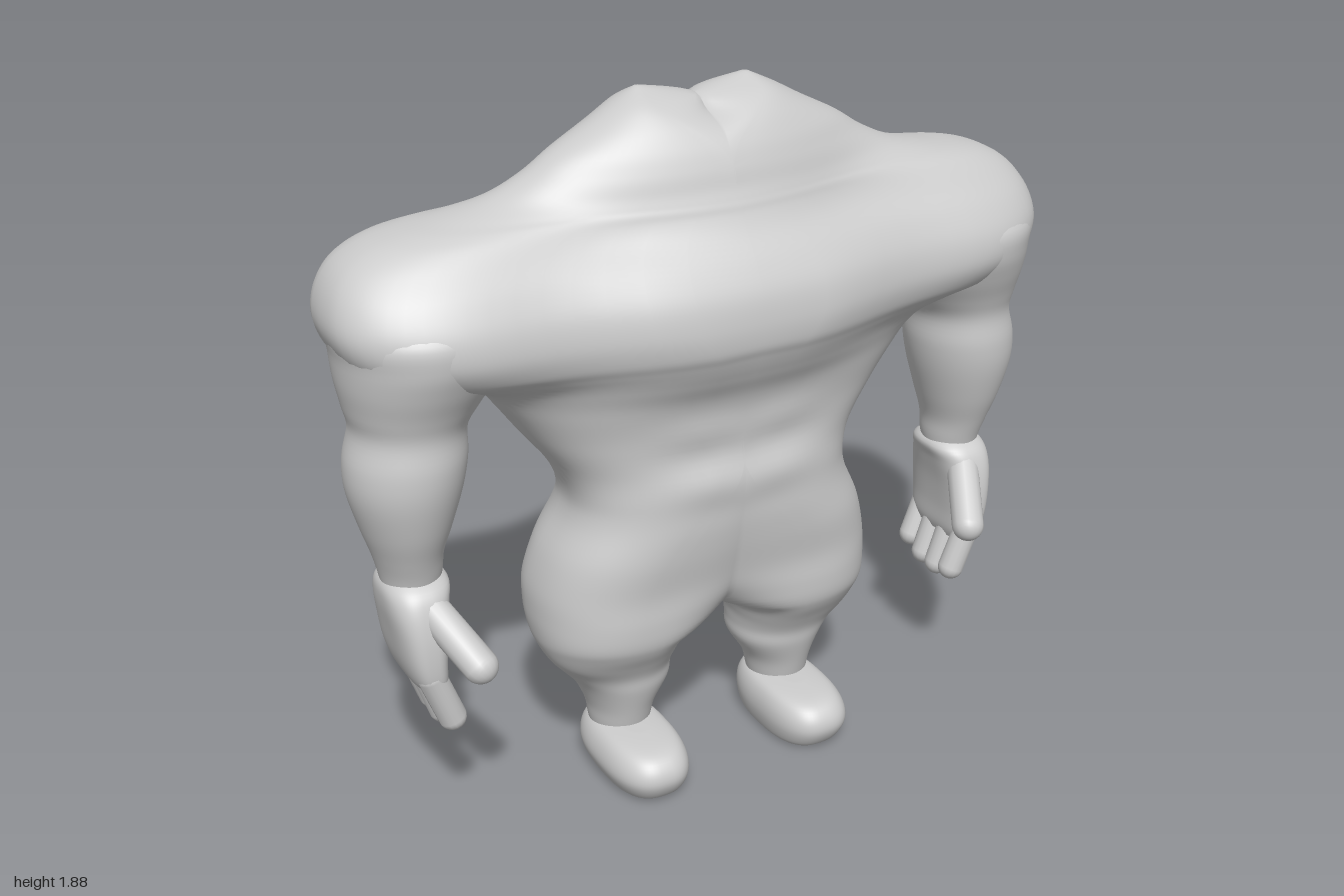
import * as THREE from 'three';
import { mergeGeometries, mergeVertices } from 'three/addons/utils/BufferGeometryUtils.js';

const SIDES = 72;   // points round each cross-section
const STEPS = 5;    // rings between two given sections

const catmull = (a, b, c, d, t) =>
  0.5 * (2 * b + (c - a) * t + (2 * a - 5 * b + 4 * c - d) * t * t + (3 * b - a - 3 * c + d) * t * t * t);
const bell = (v, mid, width) => Math.exp(-(((v - mid) / width) ** 2));

// Smooth loft through horizontal sections, lowest first:
// [y, centre x, outer radius, inner radius, front z, back z, squareness]
// A section never crosses the middle of the body: its inner arc stops at x = 0.
function loft(sections, shape = () => {}) {
  const pos = [], index = [];
  const last = sections.length - 1;
  const at = (i) => sections[Math.min(last, Math.max(0, i))];
  const rings = last * STEPS, quarter = SIDES / 4;
  const p = new THREE.Vector3();
  for (let r = 0; r <= rings; r++) {
    const k = Math.min(last - 1, Math.floor(r / STEPS)), t = r / STEPS - k;
    const [y, cx, ro, ri, zf, zb, n] = at(k).map((v, c) => catmull(at(k - 1)[c], v, at(k + 1)[c], at(k + 2)[c], t));
    const reach = Math.asin(Math.min(1, Math.max(0, cx / ri)) ** (n / 2));
    for (let i = 0; i < SIDES; i++) {
      const front = i <= SIDES / 2;
      const q = (front ? i : SIDES - i) - quarter;   // steps inwards from the foremost or rearmost point
      const a = q <= 0 ? (q / quarter) * Math.PI / 2 : Math.min(1, q / (quarter - 1)) * reach;
      const ex = Math.abs(Math.sin(a)) ** (2 / n), ez = Math.abs(Math.cos(a)) ** (2 / n);
      p.set(q <= 0 ? cx + ro * ex : cx - ri * ex, y, (zf + zb) / 2 + ((zf - zb) / 2) * (front ? ez : -ez));
      shape(p);
      pos.push(p.x, p.y, p.z);
    }
  }
  for (let r = 0; r < rings; r++) {
    for (let i = 0; i < SIDES; i++) {
      const a = r * SIDES + i, b = r * SIDES + ((i + 1) % SIDES);
      index.push(a, a + SIDES, b, b, a + SIDES, b + SIDES);
    }
  }
  // end caps
  [0, last].forEach((e) => {
    const [y, cx, , , zf, zb] = sections[e];
    const centre = pos.length / 3, first = e ? rings * SIDES : 0;
    pos.push(cx, y, (zf + zb) / 2);
    for (let i = 0; i < SIDES; i++) {
      const a = first + i, b = first + ((i + 1) % SIDES);
      if (e) index.push(centre, b, a); else index.push(centre, a, b);
    }
  });
  const raw = new THREE.BufferGeometry();
  raw.setAttribute('position', new THREE.Float32BufferAttribute(pos, 3));
  raw.setIndex(index);
  const geo = mergeVertices(raw, 1e-5);
  geo.computeVertexNormals();
  return geo;
}

// Mirror a geometry to the other side and turn its faces back outwards
function mirror(geo) {
  const out = geo.clone().scale(-1, 1, 1);
  const ix = out.index.array;
  for (let i = 0; i < ix.length; i += 3) [ix[i], ix[i + 1]] = [ix[i + 1], ix[i]];
  out.computeVertexNormals();
  return out;
}

// Rounded rod between two points, for the digits
function digit(from, to, radius) {
  const a = new THREE.Vector3(...from), b = new THREE.Vector3(...to);
  const dir = b.clone().sub(a);
  const geo = new THREE.CapsuleGeometry(radius, dir.length(), 8, 16);
  geo.applyQuaternion(new THREE.Quaternion().setFromUnitVectors(new THREE.Vector3(0, 1, 0), dir.normalize()));
  return geo.translate(...a.add(b).multiplyScalar(0.5).toArray());
}

// Leg and hip sections of one half of the body
const LEG = [
  [0.06, 0.255, 0.07, 0.07, 0.06, -0.10, 2],
  [0.14, 0.255, 0.085, 0.085, 0.08, -0.11, 2],
  [0.20, 0.255, 0.095, 0.10, 0.095, -0.125, 2],
  [0.27, 0.25, 0.13, 0.135, 0.115, -0.16, 2.1],
  [0.32, 0.25, 0.17, 0.14, 0.125, -0.165, 2.1],
  [0.37, 0.25, 0.21, 0.148, 0.15, -0.175, 2.2],
  [0.42, 0.25, 0.235, 0.175, 0.18, -0.22, 2.2],
  [0.46, 0.25, 0.245, 0.255, 0.195, -0.25, 2.3],
  [0.52, 0.25, 0.25, 0.36, 0.20, -0.28, 2.3],
  [0.60, 0.23, 0.265, 0.48, 0.20, -0.295, 2.4],
  [0.70, 0.18, 0.285, 0.5, 0.215, -0.275, 2.4],
  [0.80, 0.10, 0.315, 0.5, 0.225, -0.24, 2.4],
];
// Waist, chest, shoulder and neck-muscle sections of one half of the body
const TRUNK = [
  [0.87, 0.04, 0.365, 0.5, 0.232, -0.23, 2.4],
  [0.95, 0, 0.435, 0.5, 0.225, -0.235, 2.4],
  [1.05, 0, 0.51, 0.5, 0.218, -0.245, 2.5],
  [1.14, 0, 0.575, 0.5, 0.242, -0.275, 2.7],
  [1.20, 0, 0.625, 0.5, 0.275, -0.305, 2.7],
  [1.235, 0, 0.69, 0.5, 0.295, -0.32, 2.6],
  [1.265, 0, 0.80, 0.5, 0.31, -0.328, 2.5],
  [1.30, 0, 0.92, 0.5, 0.325, -0.333, 2.5],
  [1.36, 0, 0.972, 0.5, 0.33, -0.335, 2.8],
  [1.43, 0, 0.998, 0.5, 0.315, -0.335, 2.85],
  [1.50, 0, 0.985, 0.5, 0.275, -0.325, 2.85],
  [1.56, 0, 0.945, 0.5, 0.23, -0.305, 2.7],
  [1.60, 0, 0.88, 0.5, 0.205, -0.287, 2.5],
  [1.622, 0, 0.80, 0.5, 0.195, -0.274, 2.3],
  [1.638, 0, 0.70, 0.5, 0.187, -0.265, 2.2],
  [1.665, 0, 0.58, 0.5, 0.175, -0.25, 2.2],
  [1.71, 0, 0.48, 0.5, 0.16, -0.225, 2.2],
  [1.76, 0.03, 0.37, 0.3, 0.135, -0.195, 2.2],
  [1.81, 0.10, 0.20, 0.14, 0.095, -0.16, 2.1],
  [1.85, 0.15, 0.075, 0.15, 0.04, -0.12, 2],
  [1.88, 0.15, 0.01, 0.01, -0.04, -0.06, 2],
];
// The arm rises into the shoulder and ends inside it
const ARM = [
  [0.70, 0.83, 0.07, 0.07, 0.07, -0.08, 2],
  [0.76, 0.83, 0.08, 0.08, 0.085, -0.10, 2],
  [0.82, 0.835, 0.09, 0.09, 0.105, -0.11, 2],
  [0.90, 0.835, 0.115, 0.115, 0.135, -0.13, 2],
  [1.00, 0.83, 0.145, 0.14, 0.162, -0.15, 2],
  [1.08, 0.82, 0.155, 0.145, 0.17, -0.155, 2],
  [1.16, 0.81, 0.145, 0.14, 0.165, -0.15, 2],
  [1.22, 0.80, 0.165, 0.17, 0.182, -0.167, 2],
  [1.29, 0.785, 0.192, 0.21, 0.212, -0.195, 2],
  [1.36, 0.77, 0.212, 0.23, 0.235, -0.216, 2],
  [1.43, 0.765, 0.222, 0.23, 0.232, -0.212, 2],
  [1.50, 0.76, 0.17, 0.17, 0.17, -0.15, 2],
];
const PALM = [
  [0.45, 0.82, 0.03, 0.03, 0.11, -0.105, 3],
  [0.48, 0.828, 0.048, 0.045, 0.135, -0.13, 3],
  [0.54, 0.835, 0.06, 0.055, 0.143, -0.137, 3],
  [0.62, 0.835, 0.072, 0.065, 0.14, -0.135, 3],
  [0.69, 0.835, 0.08, 0.08, 0.125, -0.125, 2.8],
  [0.735, 0.83, 0.08, 0.085, 0.10, -0.11, 2.5],
  [0.765, 0.83, 0.05, 0.05, 0.05, -0.06, 2.2],
];
const FOOT = [
  [0, 0.25, 0.08, 0.085, 0.21, -0.09, 2.6],
  [0.015, 0.25, 0.10, 0.10, 0.245, -0.115, 2.6],
  [0.065, 0.252, 0.118, 0.112, 0.272, -0.13, 2.6],
  [0.11, 0.252, 0.11, 0.106, 0.262, -0.125, 2.6],
  [0.14, 0.252, 0.085, 0.085, 0.22, -0.10, 2.5],
  [0.15, 0.252, 0.04, 0.04, 0.12, -0.05, 2.3],
];

// Muscle relief of the trunk
function muscles(p) {
  const { x, y, z } = p;
  // hollow between the chest or back and the ball of the shoulder
  const hollow = bell(x, 0.5, 0.25) * THREE.MathUtils.smoothstep(y, 1.0, 1.25);
  p.z *= 1 - (z > 0 ? 0.2 : 0.38) * hollow;
  if (z > 0) {
    p.z -= 0.015 * bell(x, 0, 0.06) * bell(y, 1.34, 0.14);                    // breastbone
    p.z -= 0.02 * bell(x, 0.3, 0.18) * bell(y, 1.58, 0.07);                   // collar hollow
    p.z += 0.008 * Math.cos((y - 1.06) * 40) * bell(x, 0.1, 0.13) * bell(y, 0.98, 0.14); // belly
  } else {
    p.z *= 1 - 0.2 * THREE.MathUtils.smoothstep(x, 0.22, 0.45) * bell(y, 0.62, 0.17);    // rounded seat
    p.z += 0.02 * bell(x, 0, 0.05) * bell(y, 1.3, 0.4);                       // spine
    p.z += 0.02 * bell(x, 0.2, 0.06) * bell(y, 1.08, 0.14);                   // lower back
    p.z += 0.04 * bell(x, 0, 0.06) * bell(y, 0.62, 0.1);                      // buttock cleft
  }
}

// Both halves of trunk and legs, joined into one skin along the middle
function bodyGeometry() {
  const half = loft([...LEG, ...TRUNK], muscles);
  half.deleteAttribute('normal');
  const pos = half.attributes.position, ix = half.index.array, kept = [];
  for (let i = 0; i < ix.length; i += 3) {
    const tri = [ix[i], ix[i + 1], ix[i + 2]];
    if (tri.some((v) => pos.getX(v) > 1e-5)) kept.push(...tri);
  }
  half.setIndex(kept);
  const other = mirror(half);
  other.deleteAttribute('normal');
  const body = mergeVertices(mergeGeometries([half, other]), 1e-4);
  body.computeVertexNormals();
  return body;
}

export function createModel() {
  const model = new THREE.Group();
  model.name = 'headlessFigure';
  const grey = new THREE.MeshStandardMaterial({ color: 0xcccccc });
  grey.name = 'clayGrey';

  const add = (geo, name) => {
    const mesh = new THREE.Mesh(geo, grey);
    mesh.name = name;
    model.add(mesh);
  };
  const addPair = (geo, name) => {
    add(geo, `left${name}`);
    add(mirror(geo), `right${name}`);
  };

  add(bodyGeometry(), 'trunkAndLegs');
  addPair(loft(ARM), 'Arm');
  addPair(loft(PALM), 'Palm');
  addPair(loft(FOOT), 'Foot');

  // four fingers curling inwards, and the thumb in front
  [0.365, 0.35, 0.355, 0.385].forEach((tip, i) => {
    const z = 0.105 - i * 0.069;
    addPair(digit([0.835, 0.5, z], [0.785, tip, z * 0.95], 0.037), `Finger${i + 1}`);
  });
  addPair(digit([0.815, 0.68, 0.085], [0.745, 0.565, 0.215], 0.045), 'Thumb');
  return model;
}
